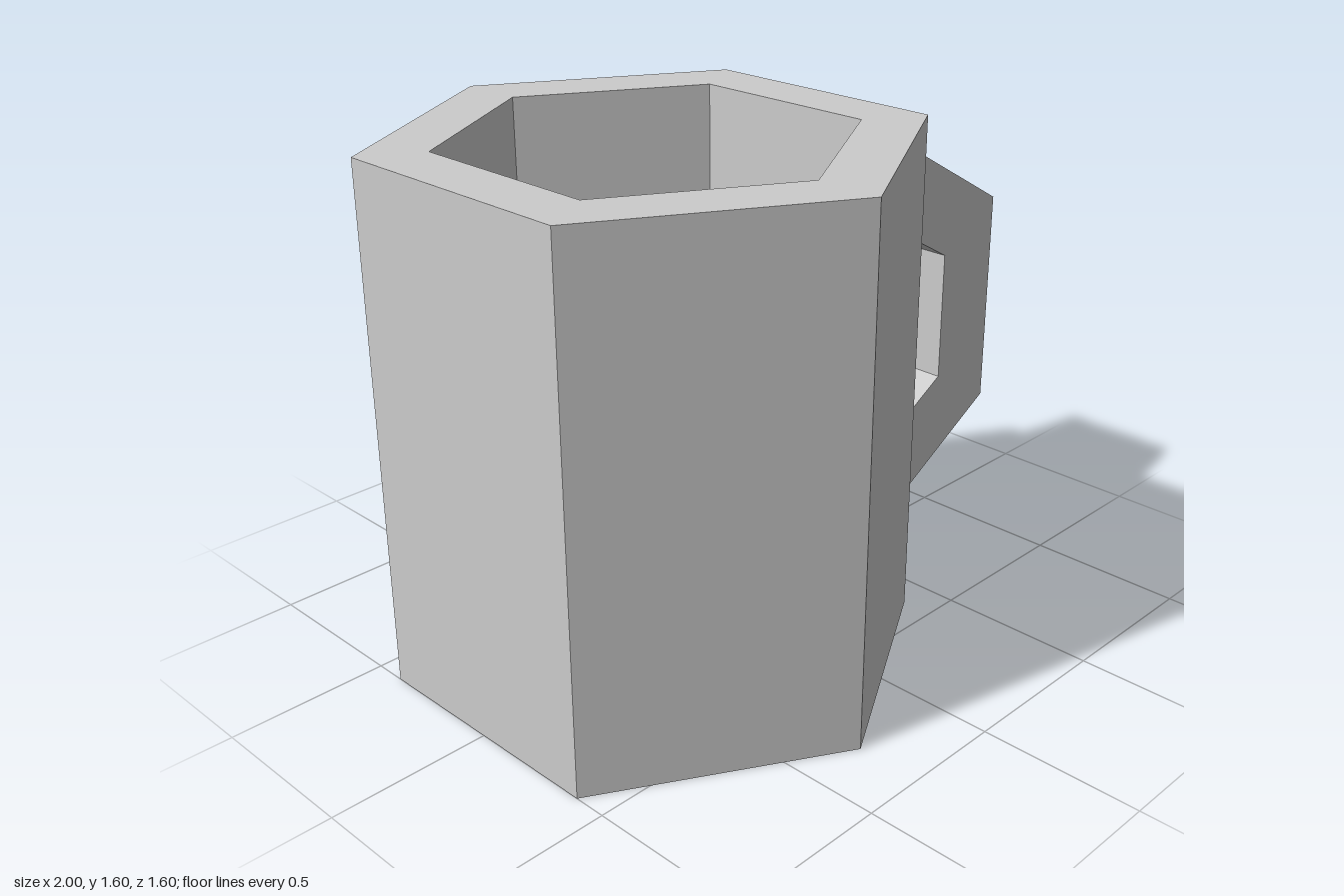
import * as THREE from 'three';

export function createModel() {
  const group = new THREE.Group();
  group.name = 'mug';
  const material = new THREE.MeshStandardMaterial({ color: 0xcccccc, flatShading: true });

  const height = 1.6, outerR = 0.8, wall = 0.2, cupX = -0.307;

  // Hexagonal cup: outside, rim, inside wall and floor as one six-sided lathe
  const profile = [
    [0, 0], [outerR, 0], [outerR, height],
    [outerR - wall, height], [outerR - wall, wall], [0, wall],
  ].map(([r, y]) => new THREE.Vector2(r, y));
  const cup = new THREE.Mesh(new THREE.LatheGeometry(profile, 6), material);
  cup.name = 'cup';
  cup.position.x = cupX;
  group.add(cup);

  // Handle: half of a hexagonal ring, top to bottom around the outer side
  const halfHexagon = (r) => [90, 30, -30, -90].map((deg) => {
    const a = THREE.MathUtils.degToRad(deg);
    return new THREE.Vector2(r * Math.cos(a), r * Math.sin(a));
  });
  const outline = new THREE.Shape([...halfHexagon(0.7), ...halfHexagon(0.42).reverse()]);
  const depth = 0.425;
  const handleGeometry = new THREE.ExtrudeGeometry(outline, { depth, bevelEnabled: false });
  handleGeometry.translate(0, 0, -depth / 2);
  const handle = new THREE.Mesh(handleGeometry, material);
  handle.name = 'handle';
  // The ring's open ends meet the flat face of the cup
  handle.position.set(cupX + outerR * Math.cos(Math.PI / 6) + 0.001, 0.83, 0);
  handle.scale.x = (1 - handle.position.x) / (0.7 * Math.cos(Math.PI / 6));
  group.add(handle);

  return group;
}
